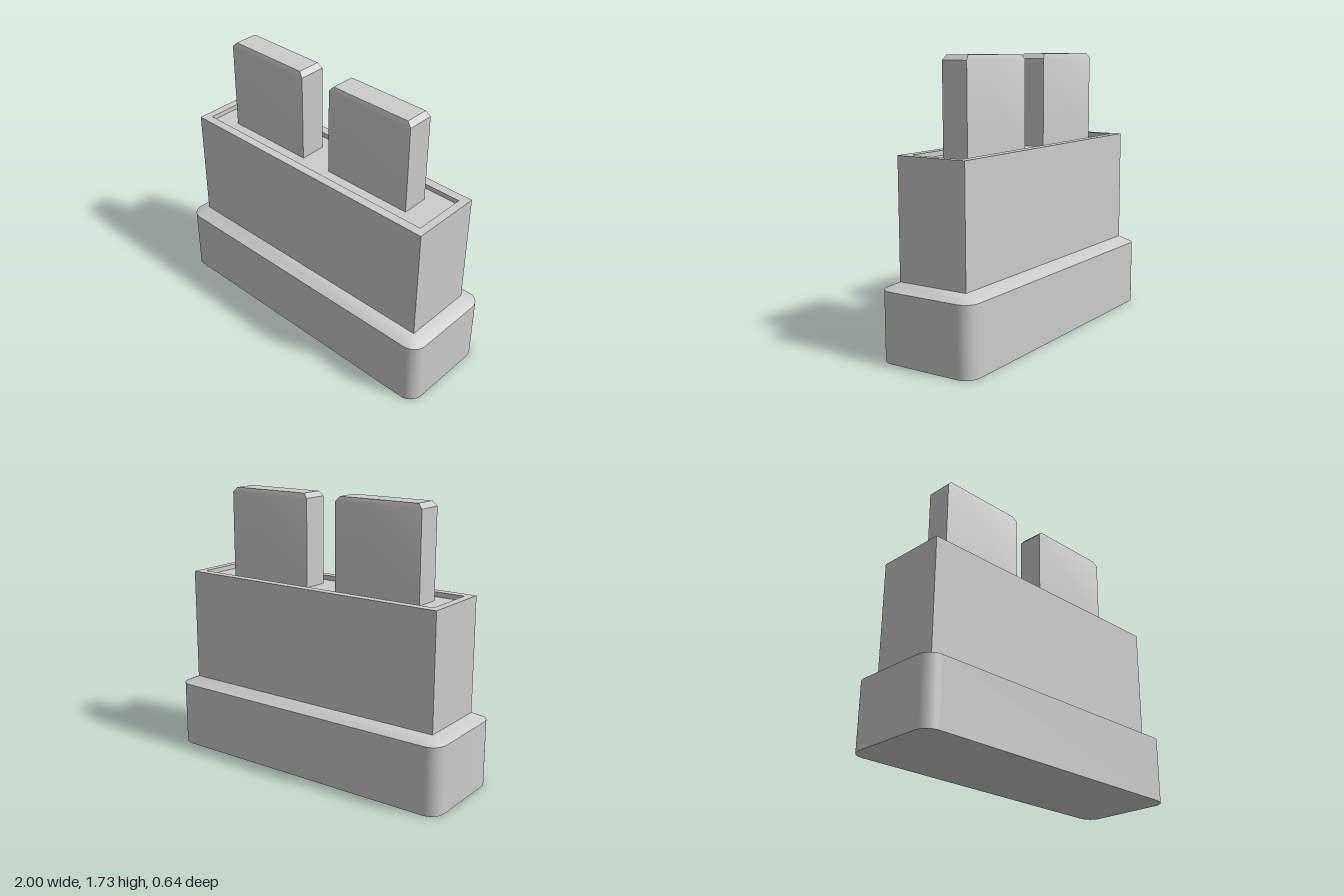
import * as THREE from 'three';
import { toCreasedNormals } from 'three/addons/utils/BufferGeometryUtils.js';

const material = new THREE.MeshStandardMaterial({ color: 0xcccccc });

// Rectangle outline at height y, grown outward by r with round corners
function ring({ hx, hz, r = 0, y }, steps) {
  const points = [];
  const corners = [[1, 1], [-1, 1], [-1, -1], [1, -1]];
  corners.forEach(([sx, sz], c) => {
    for (let i = 0; i <= steps; i++) {
      const a = (c + (steps ? i / steps : 0)) * Math.PI / 2;
      points.push(new THREE.Vector3(sx * hx + r * Math.cos(a), y, sz * hz + r * Math.sin(a)));
    }
  });
  return points;
}

// Closed solid through stacked outlines, bottom to top
function loft(sections, steps = 0) {
  const rings = sections.map((s) => ring(s, steps));
  const n = rings[0].length;
  const positions = [];
  const tri = (a, b, c) => {
    if (new THREE.Triangle(a, b, c).getArea() < 1e-8) return;
    for (const p of [a, b, c]) positions.push(p.x, p.y, p.z);
  };
  for (let k = 0; k < rings.length - 1; k++) {
    for (let i = 0; i < n; i++) {
      const j = (i + 1) % n;
      const lo = rings[k], hi = rings[k + 1];
      tri(lo[i], hi[i], hi[j]);
      tri(lo[i], hi[j], lo[j]);
    }
  }
  const top = rings[rings.length - 1];
  for (let i = 1; i < n - 1; i++) {
    tri(rings[0][0], rings[0][i], rings[0][i + 1]);
    tri(top[0], top[i + 1], top[i]);
  }
  const geometry = new THREE.BufferGeometry();
  geometry.setAttribute('position', new THREE.Float32BufferAttribute(positions, 3));
  geometry.computeVertexNormals();
  return toCreasedNormals(geometry, 0.6);
}

function rectangle(path, hx, hz) {
  return path.moveTo(-hx, -hz).lineTo(hx, -hz).lineTo(hx, hz).lineTo(-hx, hz).closePath();
}

export function createModel() {
  const model = new THREE.Group();
  model.name = 'twoBladePlug';
  const add = (name, geometry) => {
    const mesh = new THREE.Mesh(geometry, material);
    mesh.name = name;
    model.add(mesh);
    return mesh;
  };

  const hx = 0.91, hz = 0.23, shoulder = 0.46, rim = 1.18, floor = 1.15;

  // Rounded base with a shoulder sloping in to the housing
  add('base', loft([
    { hx, hz, r: 0.09, y: 0 },
    { hx, hz, r: 0.09, y: 0.42 },
    { hx, hz, r: 0, y: shoulder },
  ], 10));

  // Housing walls with a raised rim
  const outline = rectangle(new THREE.Shape(), hx, hz);
  outline.holes.push(rectangle(new THREE.Path(), 0.86, 0.175));
  const walls = new THREE.ExtrudeGeometry(outline, { depth: rim - shoulder, bevelEnabled: false });
  walls.rotateX(-Math.PI / 2).translate(0, shoulder, 0);
  add('housing', walls);

  // Sunken top panel inside the rim
  const panel = new THREE.PlaneGeometry(1.72, 0.35).rotateX(-Math.PI / 2);
  add('recessFloor', panel).position.y = floor;

  // Two flat blades with bevelled tips
  const blade = loft([
    { hx: 0.297, hz: 0.085, y: floor },
    { hx: 0.297, hz: 0.085, y: 1.7 },
    { hx: 0.269, hz: 0.075, y: 1.73 },
  ]);
  add('rightBlade', blade).position.x = -0.418;
  add('leftBlade', blade).position.x = 0.388;

  return model;
}
